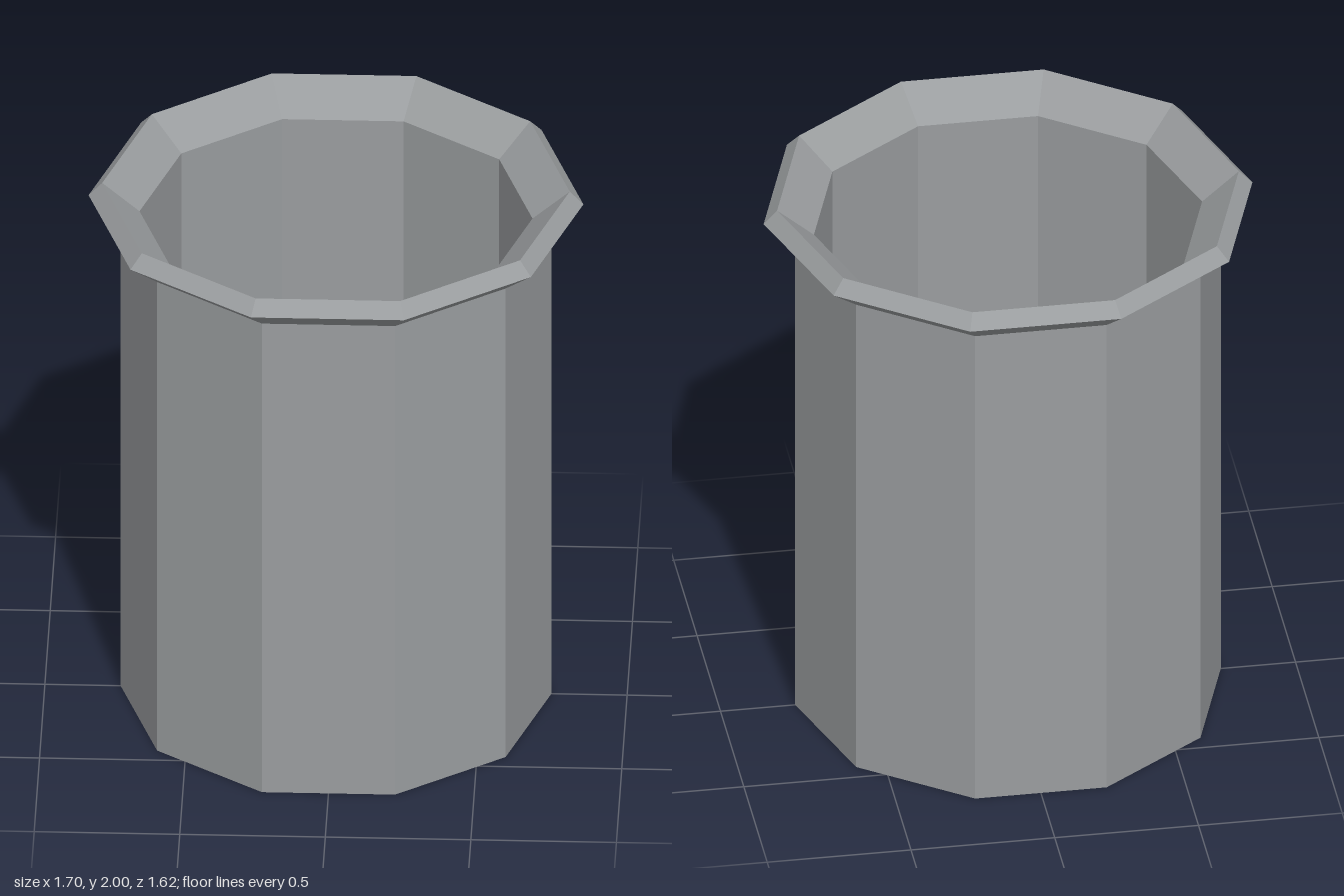
import * as THREE from 'three';

const SIDES = 10;

export function createModel() {
  const group = new THREE.Group();
  group.name = 'openContainer';

  const metal = new THREE.MeshStandardMaterial({ color: 0x9a9d9f });
  metal.name = 'greyMetal';
  metal.flatShading = true;

  // Ten-sided lathe with a corner on the x axis
  const turned = (name, profile) => {
    const points = profile.map(([r, y]) => new THREE.Vector2(r, y));
    const geometry = new THREE.LatheGeometry(points, SIDES, Math.PI / 2);
    const mesh = new THREE.Mesh(geometry, metal);
    mesh.name = name;
    group.add(mesh);
  };

  // Underside and straight outer wall
  turned('outerWall', [[0, 0], [0.74, 0], [0.74, 1.865]]);

  // Flared lip with a bevelled top edge
  turned('flaredRim', [[0.74, 1.865], [0.85, 1.95], [0.803, 2], [0.675, 1.89]]);

  // Straight inner wall and floor
  turned('innerWall', [[0.675, 1.89], [0.675, 0.07], [0, 0.07]]);

  return group;
}
